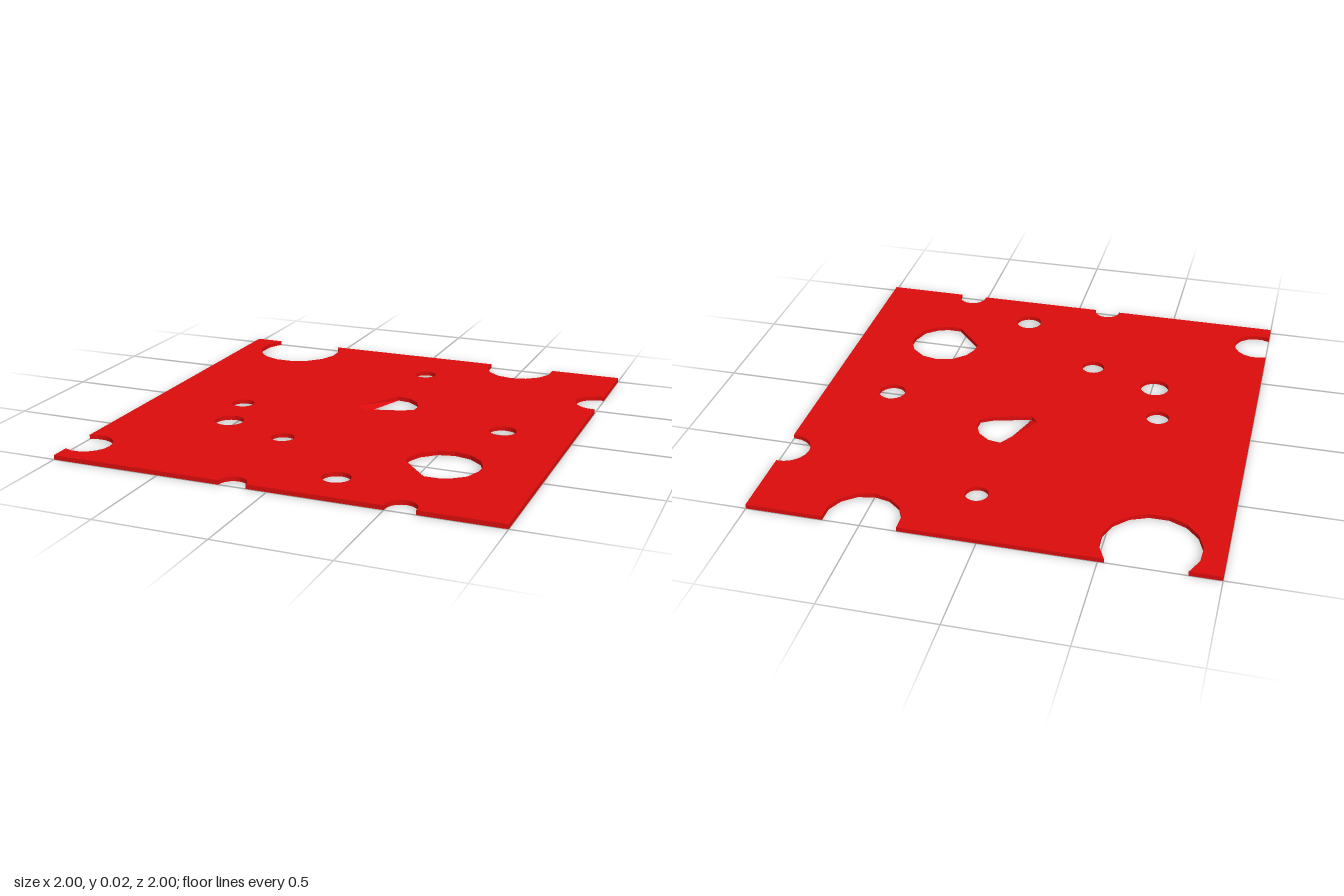
import * as THREE from 'three';
import { ConvexGeometry } from 'three/addons/geometries/ConvexGeometry.js';

const THICK = 0.02;

// Points of the arc a round bite cuts from an edge; d is how far its centre lies inside, facing is the inward angle.
function bite(cx, cz, r, d, facing, segments) {
  const half = Math.acos(-d / r);
  return Array.from({ length: segments + 1 }, (_, i) => {
    const a = facing + half - (2 * half * i) / segments;
    return new THREE.Vector2(cx + r * Math.cos(a), cz + r * Math.sin(a));
  });
}

const polygon = (pairs) => pairs.map(([x, z]) => new THREE.Vector2(x, z));

export function createModel() {
  const group = new THREE.Group();
  const red = new THREE.MeshStandardMaterial({ color: 0xdd0c0c, flatShading: true });
  const P = Math.PI;

  // Outline, drawn in x and z, with bites along the four edges
  const shape = new THREE.Shape([
    new THREE.Vector2(-1, -1),
    ...bite(-0.695, -0.875, 0.21, 0.125, P / 2, 11),
    ...bite(0.5, -0.965, 0.165, 0.035, P / 2, 8),
    new THREE.Vector2(1, -1),
    ...bite(0.99, -0.565, 0.103, 0.01, P, 10),
    new THREE.Vector2(1, 1),
    ...bite(0.567, 0.987, 0.067, 0.013, -P / 2, 12),
    ...bite(-0.155, 0.999, 0.062, 0.001, -P / 2, 12),
    new THREE.Vector2(-1, 1),
    ...bite(-0.947, 0.815, 0.108, 0.053, 0, 12),
  ]);

  // Small round holes: x, z, radius
  for (const [x, z, r] of [
    [0.08, -0.7, 0.051], [-0.57, 0.06, 0.053], [-0.515, 0.313, 0.067],
    [-0.193, 0.43, 0.053], [0.685, -0.01, 0.062], [0.215, 0.792, 0.062],
  ]) {
    const pts = Array.from({ length: 20 }, (_, i) =>
      new THREE.Vector2(x + r * Math.cos(i * P / 10), z + r * Math.sin(i * P / 10)));
    shape.holes.push(new THREE.Path(pts));
  }

  // Large hole with one straight side
  shape.holes.push(new THREE.Path(polygon([
    [0.57, 0.325], [0.645, 0.342], [0.705, 0.392], [0.735, 0.495 - 0.04], [0.735, 0.51],
    [0.708, 0.588], [0.65, 0.635], [0.602, 0.65], [0.54, 0.65],
    [0.41, 0.505], [0.412, 0.455], [0.437, 0.397], [0.498, 0.342],
  ])));

  // Wedge-shaped hole
  const a = [0.08, -0.307], b = [-0.043, -0.11], c = [-0.006, -0.064];
  shape.holes.push(new THREE.Path(polygon([
    a, [0.139, -0.297], [0.192, -0.255], [0.219, -0.195], [0.217, -0.142], [0.165, -0.112], c, b,
  ])));

  const slice = new THREE.ExtrudeGeometry(shape, { depth: THICK, bevelEnabled: false });
  slice.rotateX(P / 2).translate(0, THICK, 0);
  const sliceMesh = new THREE.Mesh(slice, red);
  sliceMesh.name = 'slice';
  group.add(sliceMesh);

  // Sloping wall inside the wedge-shaped hole
  const at = ([x, z], y) => new THREE.Vector3(x, y, z);
  const slope = new THREE.Mesh(new ConvexGeometry([at(b, THICK), at(a, 0), at(b, 0), at(c, 0)]), red);
  slope.name = 'holeSlope';
  group.add(slope);

  return group;
}
